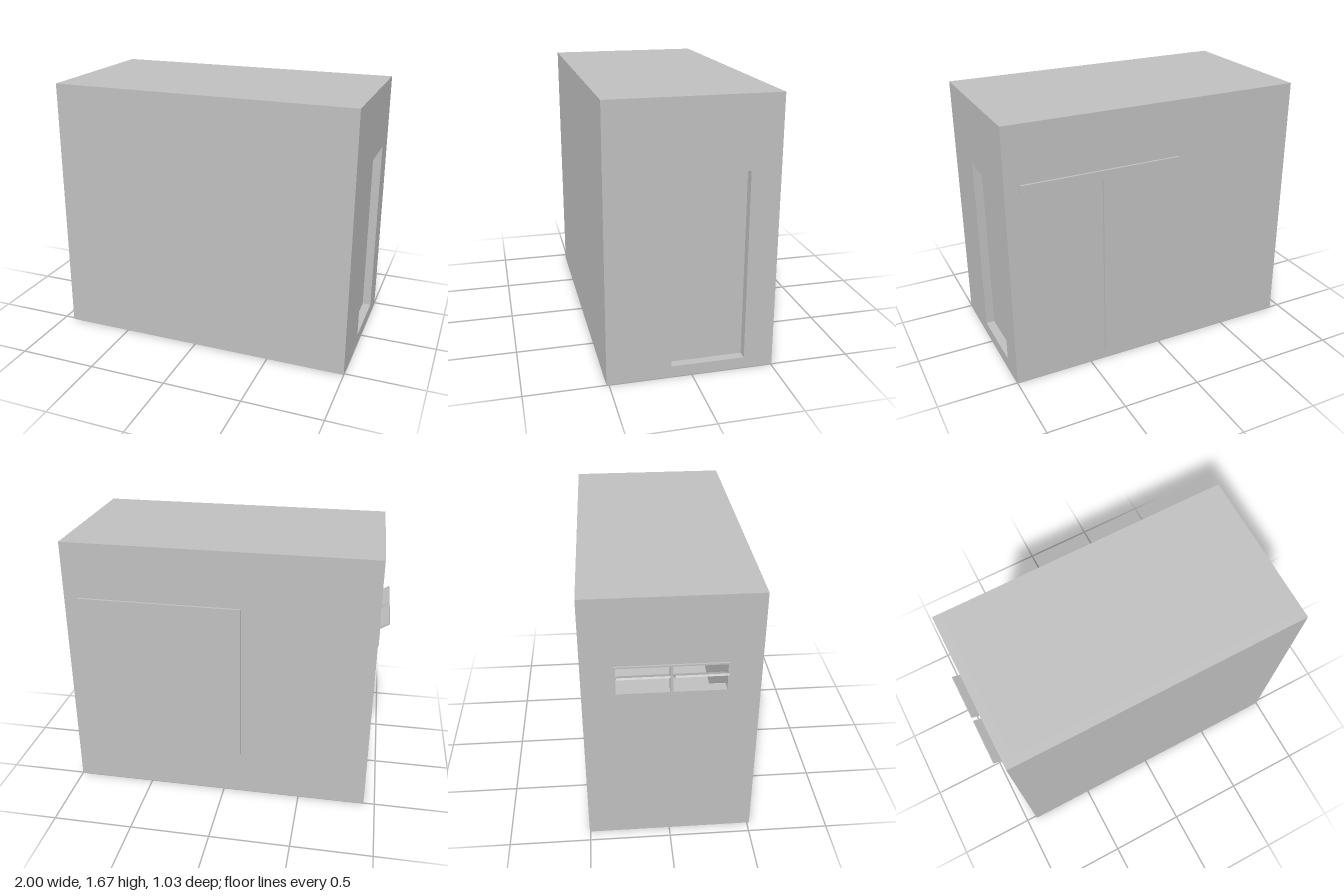
import * as THREE from 'three';

export function createModel() {
  const model = new THREE.Group();
  model.name = 'utilityRoom';
  const grey = new THREE.MeshStandardMaterial({ color: 0xbfbfbf });
  grey.name = 'plain grey';

  const X0 = -0.93, X1 = 1, Z0 = -0.505, Z1 = 0.515, H = 1.675, T = 0.055;

  function add(name, geometry) {
    const mesh = new THREE.Mesh(geometry, grey);
    mesh.name = name;
    model.add(mesh);
    return mesh;
  }
  // Box given by its limits on each axis
  function box(name, x0, x1, y0, y1, z0, z1) {
    const mesh = add(name, new THREE.BoxGeometry(x1 - x0, y1 - y0, z1 - z0));
    mesh.position.set((x0 + x1) / 2, (y0 + y1) / 2, (z0 + z1) / 2);
    return mesh;
  }
  function trace(path, [z0, z1, y0, y1]) {
    path.moveTo(z0, y0);
    path.lineTo(z1, y0);
    path.lineTo(z1, y1);
    path.lineTo(z0, y1);
    path.closePath();
    return path;
  }
  // Upright slab across x with rectangular openings, drawn in z and y
  function slab(name, x0, x1, outline, holes) {
    const shape = trace(new THREE.Shape(), outline);
    shape.holes = holes.map((h) => trace(new THREE.Path(), h));
    const geometry = new THREE.ExtrudeGeometry(shape, { depth: x1 - x0, bevelEnabled: false });
    geometry.rotateY(-Math.PI / 2);
    add(name, geometry).position.x = x1;
  }

  // Hollow shell: end walls with openings, long walls, floor and roof
  const end = [Z0, Z1, 0, H];
  slab('doorWall', X1 - T, X1, end, [[-0.333, 0.125, 0.07, 1.24]]);
  slab('windowWall', X0, X0 + T, end, [[-0.32, 0.33, 1.06, 1.25]]);
  box('frontWall', X0 + T, X1 - T, 0, H, Z1 - T, Z1);
  box('backWall', X0 + T, X1 - T, 0, H, Z0, Z0 + T);
  box('floor', X0 + T, X1 - T, 0, T, Z0 + T, Z1 - T);
  box('roof', X0 + T, X1 - T, H - T, H, Z0 + T, Z1 - T);

  // Recessed side door with a narrow jamb
  box('sideDoor', X1 - T - 0.02, X1 - T, 0.06, 1.25, -0.34, 0.135);
  box('sideDoorJamb', X1 - T, X1, 0.07, 1.24, -0.333, -0.325);

  // Sliding door hung from a rail on the back
  box('slidingDoor', -0.11, 0.4, 0.07, 1.27, Z0 - 0.015, Z0);
  box('slidingDoorRail', -0.11, 0.91, 1.27, 1.32, Z0 - 0.015, Z0);

  // Window frame with two tilted panes
  slab('windowFrame', X0 - 0.01, X0 + T, [-0.32, 0.33, 1.06, 1.25],
    [[-0.31, -0.003, 1.07, 1.24], [0.013, 0.32, 1.07, 1.24]]);
  for (const [z0, z1] of [[-0.307, -0.008], [0.018, 0.317]]) {
    const pane = box('windowPane', -1.005, -0.835, 1.159, 1.171, z0, z1);
    pane.rotation.z = -0.54;
  }

  return model;
}
